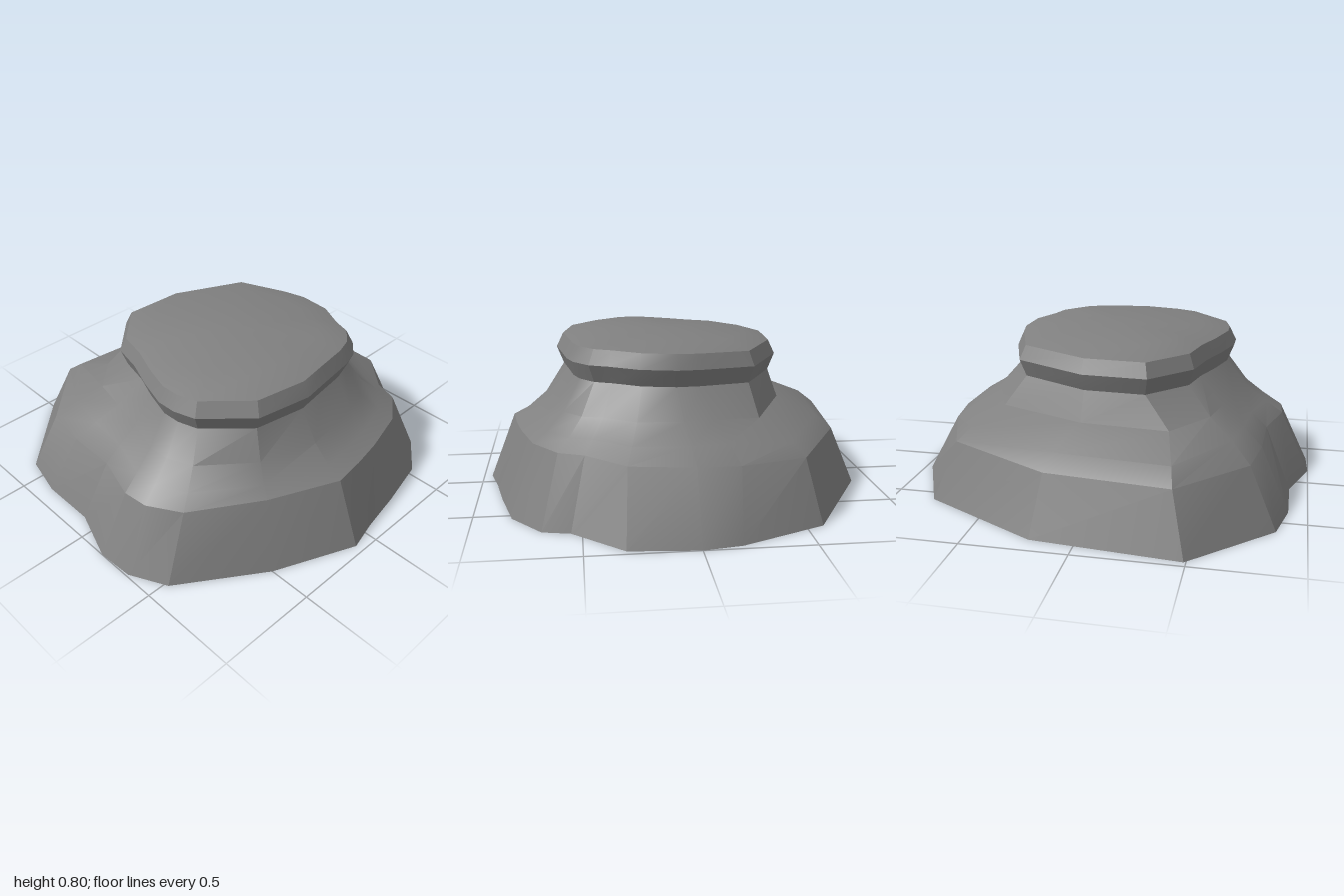
import * as THREE from 'three';
import { toCreasedNormals } from 'three/addons/utils/BufferGeometryUtils.js';

// Plan outlines [x, z], matched point for point, running front -> +x -> back -> -x
const BASE = [
  [-0.10, 0.96], [0.06, 0.92], [0.28, 0.88], [0.54, 0.82], [0.72, 0.68], [0.75, 0.55], [0.97, 0.32],
  [1.0, 0.0], [0.97, -0.18], [0.79, -0.58], [0.21, -0.90], [-0.49, -0.965], [-0.86, -0.60], [-0.91, -0.38],
  [-0.91, -0.10], [-1.0, 0.16], [-0.99, 0.34], [-0.90, 0.52], [-0.50, 0.79],
];
const LEDGE = [
  [-0.10, 0.83], [0.06, 0.81], [0.22, 0.78], [0.45, 0.715], [0.60, 0.60], [0.64, 0.48], [0.80, 0.30],
  [0.82, 0.0], [0.80, -0.2], [0.68, -0.52], [0.17, -0.79], [-0.42, -0.85], [-0.73, -0.54], [-0.77, -0.31],
  [-0.78, -0.05], [-0.85, 0.18], [-0.84, 0.31], [-0.75, 0.47], [-0.43, 0.68],
];
const CAP = [
  [-0.09, 0.60], [0.07, 0.575], [0.24, 0.55], [0.33, 0.52], [0.41, 0.45], [0.44, 0.36], [0.51, 0.22],
  [0.525, 0.05], [0.50, -0.07], [0.41, -0.33], [0.06, -0.505], [-0.25, -0.52], [-0.44, -0.33], [-0.48, -0.17],
  [-0.54, -0.02], [-0.59, 0.14], [-0.59, 0.24], [-0.56, 0.35], [-0.36, 0.55],
];
// Undercut step behind the neck, by outline index: [x, y, z]
const STEP = { 9: [0.49, 0.43, -0.34], 10: [0.06, 0.43, -0.525], 11: [-0.36, 0.43, -0.56] };

// Raises an outline to a height that tilts with z, optionally shrunk about the cap's middle
function ring(outline, y, tilt = 0, scale = 1) {
  return outline.map(([x, z]) => {
    const px = -0.03 + (x + 0.03) * scale;
    const pz = 0.03 + (z - 0.03) * scale;
    return [px, y + tilt * pz, pz];
  });
}

const mix = (a, b, t) => a.map((v, k) => v + (b[k] - v) * t);

// Skins consecutive rings, with an optional centre point closing the top
function loft(rings, apex, crease) {
  const n = rings[0].length;
  const points = rings.flat();
  const index = [];
  for (let r = 0; r < rings.length - 1; r++) {
    for (let i = 0; i < n; i++) {
      const a = r * n + i, b = r * n + (i + 1) % n;
      index.push(a, b, b + n, a, b + n, a + n);
    }
  }
  if (apex) {
    const top = (rings.length - 1) * n;
    for (let i = 0; i < n; i++) index.push(top + i, top + (i + 1) % n, points.length);
    points.push(apex);
  }
  const geometry = new THREE.BufferGeometry();
  geometry.setAttribute('position', new THREE.Float32BufferAttribute(points.flat(), 3));
  geometry.setIndex(index);
  return toCreasedNormals(geometry, crease);
}

export function createModel() {
  const group = new THREE.Group();
  group.name = 'rockMound';
  const stone = new THREE.MeshStandardMaterial({ color: 0x808080, side: THREE.DoubleSide });
  stone.name = 'grey stone';

  const add = (name, geometry) => {
    const mesh = new THREE.Mesh(geometry, stone);
    mesh.name = name;
    group.add(mesh);
  };

  const base = ring(BASE, 0);
  const ledge = ring(LEDGE, 0.306, 0.035);
  const neck = ring(CAP, 0.587, 0.03, 0.94);

  // Concave shoulder between ledge and neck, with the step at the back
  const upper = neck.map((p, i) => {
    if (STEP[i]) return STEP[i];
    const q = mix(p, ledge[i], 0.36);
    return [q[0], 0.455, q[2]];
  });
  const lower = upper.map((p, i) => {
    const q = mix(p, ledge[i], STEP[i] ? 0.7 : 0.55);
    return [q[0], STEP[i] ? 0.345 : 0.375, q[2]];
  });
  add('slope', loft([base, ledge, lower, upper, neck], null, 0.45));

  // Bulging cap with a bevelled, slightly tilted top
  add('cap', loft([
    neck,
    ring(CAP, 0.671, 0.03),
    ring(CAP, 0.741, 0.033, 0.94),
    ring(CAP, 0.78, 0.036, 0.7),
  ], [-0.03, 0.783, 0.03], 0.45));

  return group;
}
